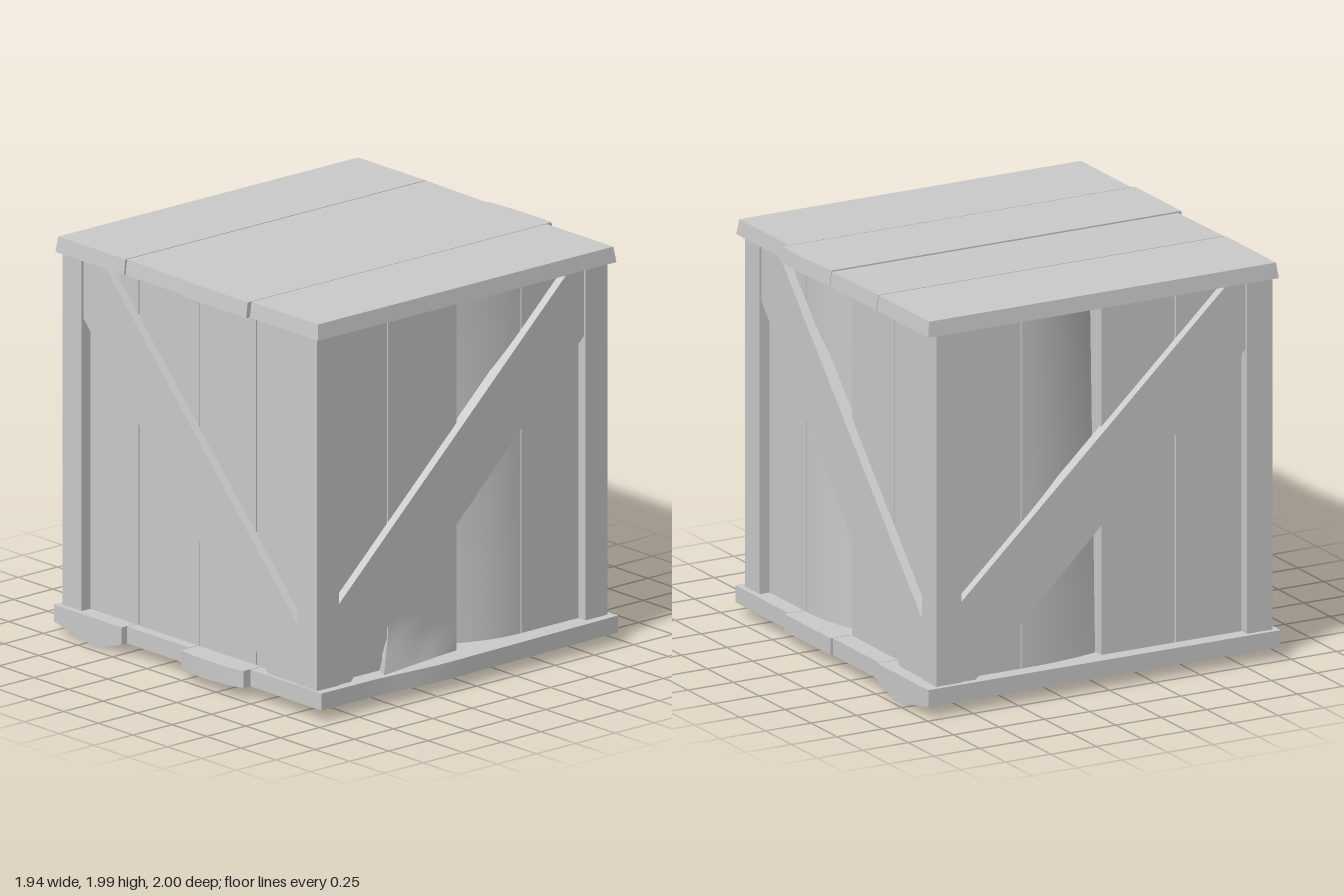
import * as THREE from 'three';

const material = new THREE.MeshStandardMaterial({ color: 0xcccccc });
const tent = (v, a, peak, b) => Math.max(0, v < peak ? (v - a) / (peak - a) : (b - v) / (b - peak));

// Box between two corners; the optional warp moves its vertices by a rule.
function plank(name, [x0, x1], [y0, y1], [z0, z1], warp, segments = [1, 1, 1]) {
  const geometry = new THREE.BoxGeometry(x1 - x0, y1 - y0, z1 - z0, ...segments);
  geometry.translate((x0 + x1) / 2, (y0 + y1) / 2, (z0 + z1) / 2);
  if (warp) {
    const pos = geometry.attributes.position;
    const p = new THREE.Vector3();
    for (let i = 0; i < pos.count; i++) {
      p.fromBufferAttribute(pos, i);
      warp(p);
      pos.setXYZ(i, p.x, p.y, p.z);
    }
    geometry.computeVertexNormals();
  }
  const mesh = new THREE.Mesh(geometry, material);
  mesh.name = name;
  return mesh;
}

// Diagonal brace outlines, falling or rising across a side as seen from outside.
const falling = [[-0.78, 1.91], [-0.78, 1.61], [0.56, 0.14], [0.78, 0.14], [0.78, 0.43], [-0.63, 1.91]];
const rising = [[-0.79, 0.14], [-0.71, 0.14], [0.78, 1.57], [0.78, 1.91], [0.68, 1.91], [-0.79, 0.54]];

function brace(outline) {
  const shape = new THREE.Shape(outline.map(([x, y]) => new THREE.Vector2(x, y)));
  const mesh = new THREE.Mesh(new THREE.ExtrudeGeometry(shape, { depth: 0.06, bevelEnabled: false }), material);
  mesh.name = 'diagonalBrace';
  mesh.position.z = 0.855;
  return mesh;
}

const WALL = 0.87;
const seams = [-0.83, -0.43, 0.01, 0.42, 0.83];

// Bends the edge of a board next to the middle seam inwards, more at one height.
const bentEdge = (dir, low, high) => (p) => {
  if (p.z < WALL - 0.01) return;
  const t = 1 - Math.min(1, Math.abs(p.x - 0.01) / 0.41);
  const h = (p.y - 0.13) / 1.79;
  p.z -= (low + (high - low) * h) * t * t;
};

// Kicks the lower corner of a board outwards.
const splintered = (p) => {
  if (p.z < WALL - 0.01) return;
  const k = Math.max(0, 1 - (p.y - 0.13) / 0.19 - (p.x + 0.43) / 0.44);
  p.z += 0.08 * k;
  p.x -= 0.1 * k;
};

function side(name, outline, warps) {
  const group = new THREE.Group();
  group.name = name;
  for (let i = 0; i < 4; i++) {
    const gap = 0.003;
    group.add(plank('wallBoard', [seams[i] + gap, seams[i + 1] - gap], [0.13, 1.92], [WALL - 0.12, WALL],
      warps[i], warps[i] ? [10, 20, 1] : [1, 1, 1]));
  }
  group.add(brace(outline));
  return group;
}

export function createModel() {
  const model = new THREE.Group();
  model.name = 'woodenCrate';

  // Four sides and corner posts
  const frame = new THREE.Group();
  frame.name = 'frame';
  frame.position.set(-0.02, 0, 0.005);
  const sides = [
    ['frontSide', falling, {}],
    ['rightSide', rising, { 1: splintered, 2: bentEdge(1, 0.12, 0.06) }],
    ['backSide', falling, { 1: bentEdge(-1, 0.1, 0.08) }],
    ['leftSide', rising, { 1: bentEdge(-1, 0.05, 0.1) }],
  ];
  sides.forEach(([name, outline, warps], i) => {
    const s = side(name, outline, warps);
    s.rotation.y = i * Math.PI / 2;
    frame.add(s);
  });
  for (const sx of [-1, 1]) {
    for (const sz of [-1, 1]) {
      const post = plank('cornerPost', [-0.07, 0.07], [0.13, 1.92], [-0.07, 0.07]);
      post.position.set(sx * 0.852, 0, sz * 0.855);
      frame.add(post);
    }
  }
  model.add(frame);

  // Lid boards, slightly wider underneath, with uneven ends
  const lid = [
    [-0.96, -0.474, -0.97, 0.94],
    [-0.468, -0.022, -0.97, 0.935],
    [-0.018, 0.428, -0.97, 0.955],
    [0.432, 0.915, -0.945, 0.935],
  ];
  lid.forEach(([x0, x1, z0, z1], i) => {
    const warp = (p) => {
      if (p.y < 1.95) {
        p.z += Math.sign(p.z) * 0.01;
        if (p.x < -0.95) p.x -= 0.01;
        if (p.x > 0.9) p.x += 0.012;
      }
      if (i === 2 && p.z < -0.9) p.z -= 0.02 * tent(p.x, -0.02, 0.27, 0.6);
      if (i === 1 && p.y > 1.95) p.y -= 0.006 * tent(p.x, -0.47, -0.02, 0.4);
    };
    model.add(plank('lidBoard', [x0, x1], [1.91, 1.987], [z0, z1], warp, [4, 1, 4]));
  });

  // Floor boards: one sags to the ground, one juts out in front, one bulges sideways
  const floor = [
    [-0.97, -0.478, -0.98, 0.96],
    [-0.474, -0.022, -0.965, 0.93],
    [-0.018, 0.428, -0.975, 0.965],
    [0.432, 0.945, -0.95, 0.94],
  ];
  floor.forEach(([x0, x1, z0, z1], i) => {
    const warp = (p) => {
      const under = p.y < 0.1;
      if (i === 0 && under) {
        p.y -= 0.06 * Math.min(tent(p.x, -0.97, -0.67, -0.47), tent(p.z, -0.1, -0.75, -1.0) || tent(p.z, -1.0, -0.75, -0.1));
      }
      if (i === 2 && p.z > 0.9) {
        p.z += 0.035 * Math.min(1, 2 * tent(p.x, -0.1, 0.2, 0.5));
        if (under) p.y -= 0.012 * tent(p.x, -0.02, 0.1, 0.43);
      }
      if (i === 3 && p.x > 0.9) p.x += 0.028 * tent(p.z, -0.95, 0.2, 0.6);
    };
    model.add(plank('floorBoard', [x0, x1], [0.06, 0.145], [z0, z1], warp, [5, 1, 16]));
  });

  return model;
}
